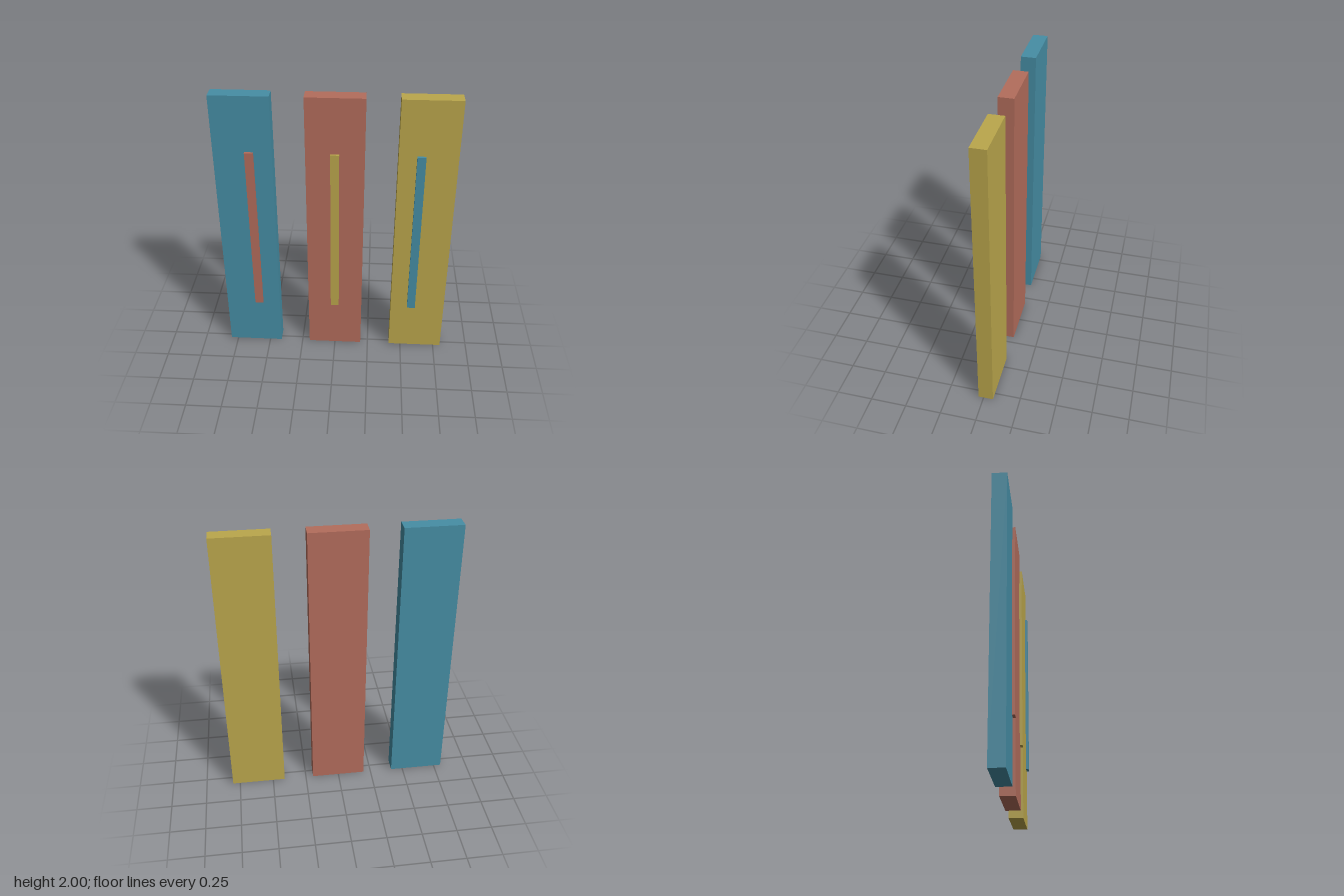
import * as THREE from 'three';

export function createModel() {
  const group = new THREE.Group();
  const flat = (name, color) => {
    const material = new THREE.MeshStandardMaterial({ color });
    material.name = name;
    return material;
  };
  const teal = flat('teal', 0x468ea5);
  const clay = flat('clay', 0xb36d5c);
  const ochre = flat('ochre', 0xbba74c);

  const addBox = (name, size, position, material) => {
    const mesh = new THREE.Mesh(new THREE.BoxGeometry(...size), material);
    mesh.name = name;
    mesh.position.set(...position);
    group.add(mesh);
  };

  // Three upright panels, each with a slim strip floating just in front
  const panels = [
    ['right', -1, teal, clay],
    ['middle', 0, clay, ochre],
    ['left', 1, ochre, teal],
  ];
  for (const [name, side, panelColor, stripColor] of panels) {
    addBox(`${name}Panel`, [0.39, 2, 0.103], [side * 0.608, 1, -0.0155], panelColor);
    addBox(`${name}Strip`, [0.058, 1.236, 0.018], [side * 0.561, 1, 0.058], stripColor);
  }
  return group;
}
